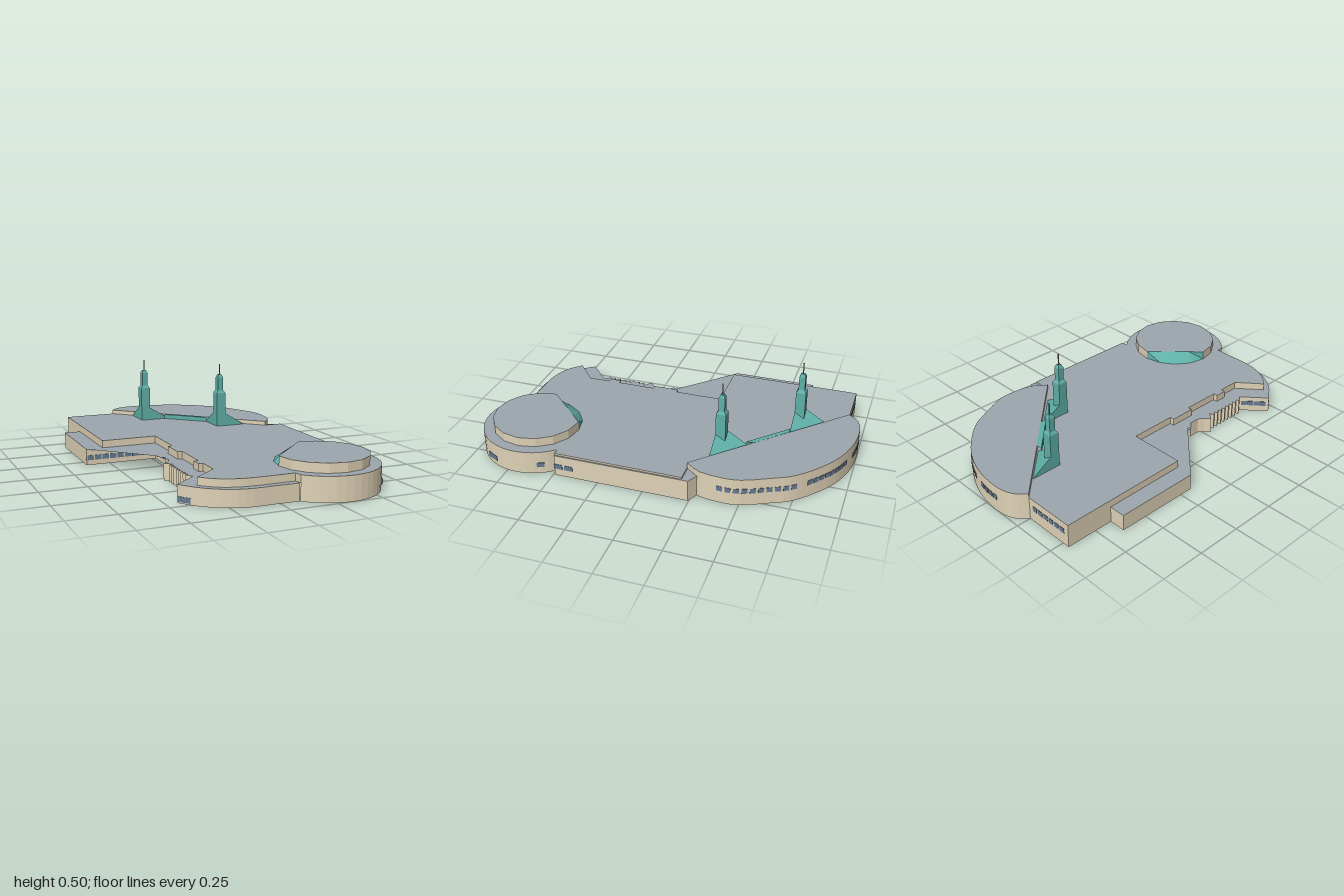
import * as THREE from 'three';

const mat = (name, color) => Object.assign(new THREE.MeshStandardMaterial({ color, side: THREE.DoubleSide }), { name });

export function createModel() {
  const group = new THREE.Group();
  const stone = mat('sandstone', 0xdfd2b6);
  const roofGrey = mat('roof grey', 0x9da6ae);
  const teal = mat('teal copper', 0x5fb0a7);
  const blue = mat('window blue', 0x667a94);
  const brown = mat('mast brown', 0x8c7761);

  const add = (name, geo, material) => {
    const mesh = new THREE.Mesh(geo, material);
    mesh.name = name;
    group.add(mesh);
    return mesh;
  };
  // Faceted ribbon between two rows of [x, y, z] points
  const strip = (name, low, high, material) => {
    const pos = [];
    for (let i = 0; i < low.length - 1; i++) {
      pos.push(...low[i], ...low[i + 1], ...high[i + 1], ...low[i], ...high[i + 1], ...high[i]);
    }
    const geo = new THREE.BufferGeometry();
    geo.setAttribute('position', new THREE.Float32BufferAttribute(pos, 3));
    geo.computeVertexNormals();
    return add(name, geo, material);
  };
  const at = (path, y) => path.map(([x, z]) => [x, y, z]);
  const wall = (name, path, y0, y1) => strip(name, at(path, y1), at(path, y0), stone);
  const roof = (name, path, y) => {
    const geo = new THREE.ShapeGeometry(new THREE.Shape(path.map(([x, z]) => new THREE.Vector2(x, -z))));
    return add(name, geo.rotateX(-Math.PI / 2).translate(0, y, 0), roofGrey);
  };
  const arc = (cx, cz, r, from, to, n) => Array.from({ length: n + 1 }, (_, i) => {
    const a = THREE.MathUtils.degToRad(from + (to - from) * i / n);
    return [cx + r * Math.cos(a), cz + r * Math.sin(a)];
  });
  const smooth = (path, n) => new THREE.CatmullRomCurve3(path.map(([x, z]) => new THREE.Vector3(x, 0, z)))
    .getPoints(n).map(p => [p.x, p.z]);
  // Row of thin window plates along part of a path
  const windows = (path, from, to, n, y, w = 0.03, h = 0.027) => {
    const curve = new THREE.CurvePath();
    for (let i = 0; i < path.length - 1; i++) {
      curve.add(new THREE.LineCurve3(new THREE.Vector3(path[i][0], y, path[i][1]),
        new THREE.Vector3(path[i + 1][0], y, path[i + 1][1])));
    }
    for (let i = 0; i < n; i++) {
      const u = from + (to - from) * (i + 0.5) / n;
      const t = curve.getTangentAt(u);
      const pane = add('window', new THREE.BoxGeometry(w, h, 0.005), blue);
      pane.position.copy(curve.getPointAt(u));
      pane.rotation.y = Math.atan2(-t.z, t.x);
    }
  };

  // Main hall outline: right side and round corner, front terrace, stepped left side
  const corner = arc(0.332, 0.7, 0.3, -43.7, 139, 22);
  const terrace = smooth([[0.1, 0.855], [-0.09, 0.855], [-0.19, 0.845], [-0.29, 0.805], [-0.36, 0.74]], 10);
  const leftSteps = [[-0.36, 0.74], [-0.23, 0.63], [-0.23, 0.51], [-0.255, 0.51], [-0.255, 0.445], [-0.23, 0.445],
    [-0.23, 0.23], [-0.255, 0.23], [-0.255, 0.085], [-0.23, 0.085], [-0.23, -0.18]];
  const rightSide = [[0.592, -0.21], [0.592, 0.49], [0.55, 0.49]];
  const rightEdge = [[0.48, -0.21], [0.584, -0.21], [0.584, 0.49]];
  const backSide = [[-0.54, -0.18], [-0.54, -0.92], [-0.25, -0.92]];
  const frontAndLeft = [...corner, ...terrace, ...leftSteps.slice(1)];
  roof('mainRoof', [...backSide, ...rightEdge, [0.55, 0.49], ...frontAndLeft], 0.13);
  roof('mainCeiling', [...backSide, [0.48, -0.21], ...rightSide, ...frontAndLeft], 0.09);
  wall('rightRoofStep', rightEdge, 0.12, 0.13);
  roof('rightLedge', [rightEdge[1], ...rightSide.slice(0, 2), rightEdge[2]], 0.12);
  wall('rightWall', rightSide, 0, 0.12);
  wall('cornerWall', corner, 0, 0.13);
  wall('terraceStep', [corner[22], ...terrace], 0.09, 0.13);
  wall('leftUpperWall', leftSteps, 0.09, 0.13);
  wall('leftEntranceWall', leftSteps.slice(-4), 0, 0.09);
  wall('leftStep', [[-0.23, -0.18], ...backSide.slice(0, 2)], 0.09, 0.13);
  wall('backWall', [[-0.54, -0.65], [-0.54, -0.92], [-0.25, -0.92]], 0, 0.13);

  // Link between the right wall and the rear wing
  const link = [[0.535, -0.275], [0.592, -0.245], [0.592, -0.21]];
  roof('linkRoof', [[0.48, -0.21], ...link], 0.12);
  roof('linkCeiling', [[0.48, -0.21], ...link], 0.09);
  wall('linkWall', link, 0, 0.12);

  // Low left wing, open canopy, saw-tooth bays and curved front lip
  const sawtooth = [[-0.305, 0.23], [-0.325, 0.26], [-0.355, 0.285], [-0.31, 0.32]];
  for (let i = 0; i < 8; i++) sawtooth.push([-0.34, 0.325 + i * 0.031], [-0.322, 0.352 + i * 0.031]);
  const lip = smooth([[-0.44, 0.69], [-0.36, 0.79], [-0.26, 0.86], [-0.16, 0.89], [-0.03, 0.892], [0.103, 0.895]], 14);
  const bays = [[-0.305, 0.17], ...sawtooth, [-0.31, 0.575], ...lip];
  const canopy = [[-0.632, -0.18], [-0.33, 0.12], [-0.34, 0.14]];
  roof('lowRoof', [[-0.54, -0.65], [-0.63, -0.65], ...canopy, ...bays, ...terrace,
    ...leftSteps.slice(1), [-0.54, -0.18]], 0.09);
  wall('lowWingWall', [[-0.54, -0.65], [-0.63, -0.65], [-0.632, -0.18], [-0.23, -0.18]], 0, 0.09);
  wall('bayWall', bays, 0, 0.09);

  // Rear rounded wing
  const rear = smooth([[-0.25, -0.92], [-0.2, -0.972], [-0.13, -0.997], [-0.05, -1], [0.04, -0.99], [0.13, -0.965],
    [0.22, -0.925], [0.3, -0.87], [0.38, -0.8], [0.44, -0.73], [0.48, -0.65], [0.55, -0.49], [0.553, -0.38],
    [0.535, -0.28], [0.48, -0.205]], 36);
  roof('rearRoof', rear, 0.153);
  roof('rearCeiling', rear, 0.09);
  wall('rearWall', rear, 0, 0.153);
  wall('rearRoofStep', [rear[0], rear[36]], 0.13, 0.153);
  wall('rearBeam', [rear[0], rear[36]], 0, 0.09);

  // Round drum with a sloping glazed cut, and the ring wall under it
  const kept = arc(0.333, 0.703, 0.243, -90, 180, 12);
  const cut = arc(0.333, 0.703, 0.243, 180, 270, 4);
  roof('drumRoof', kept, 0.18);
  wall('drumWall', kept, 0.13, 0.18);
  wall('drumRing', [...kept, ...cut], 0, 0.09);
  const chord = cut.map((_, i) => [
    THREE.MathUtils.lerp(cut[0][0], cut[4][0], i / 4), THREE.MathUtils.lerp(cut[0][1], cut[4][1], i / 4)]);
  strip('drumGlazing', at(cut, 0.131), at(chord, 0.18), teal);

  // Raised strip joining the two towers
  const linkFront = [[0, -0.64], [0.2, -0.445]];
  const linkBack = [[0.038, -0.64], [0.2, -0.482]];
  strip('towerLinkFace', at(linkFront, 0.13), at(linkFront, 0.155), teal);
  strip('towerLinkTop', at(linkFront, 0.155), at(linkBack, 0.155), teal);

  // Towers: square tapering shaft, mast and sloping buttress
  const square = (top, bottom, h) => new THREE.CylinderGeometry(top * Math.SQRT1_2, bottom * Math.SQRT1_2, h, 4)
    .rotateY(Math.PI / 4).toNonIndexed();
  for (const [x, z] of [[-0.148, -0.64], [0.202, -0.29]]) {
    const stages = [[0.054, 0.054, 0.13, 0.328], [0.034, 0.054, 0.328, 0.343],
      [0.034, 0.034, 0.343, 0.42], [0.018, 0.034, 0.42, 0.437]];
    for (const [top, bottom, y0, y1] of stages) {
      const geo = square(top, bottom, y1 - y0);
      geo.computeVertexNormals();
      add('towerStage', geo, teal).position.set(x + 0.027, (y0 + y1) / 2, z - 0.027);
    }
    add('mast', square(0.005, 0.005, 0.065), brown).position.set(x + 0.027, 0.4675, z - 0.027);
    const apex = [x, 0.238, z];
    strip('buttress', [[x, 0.13, z], [x + 0.175, 0.13, z], [x, 0.13, z - 0.175], [x, 0.13, z]],
      [apex, apex, apex, apex], teal);
  }

  // Windows
  windows(rear, 0.55, 0.86, 10, 0.085);
  windows(rear, 0.29, 0.51, 8, 0.085);
  windows(rear, 0.13, 0.24, 4, 0.085);
  windows([[-0.54, -0.92], [-0.25, -0.92]], 0.08, 0.92, 6, 0.08);
  windows([[-0.632, -0.18], [-0.23, -0.18]], 0, 0.97, 9, 0.041, 0.036);
  windows([[-0.23, -0.18], [-0.23, 0.085]], 0.05, 0.95, 6, 0.041, 0.034);
  windows([[-0.31, 0.575], [-0.44, 0.69]], 0.08, 0.92, 4, 0.05, 0.034);
  windows(lip, 0.005, 0.12, 2, 0.02, 0.034);
  windows(rightSide, 0.8, 0.955, 2, 0.055, 0.047);
  windows(corner, 0.07, 0.12, 1, 0.052, 0.04);
  windows(corner, 0.365, 0.445, 1, 0.042, 0.07);

  return group;
}
